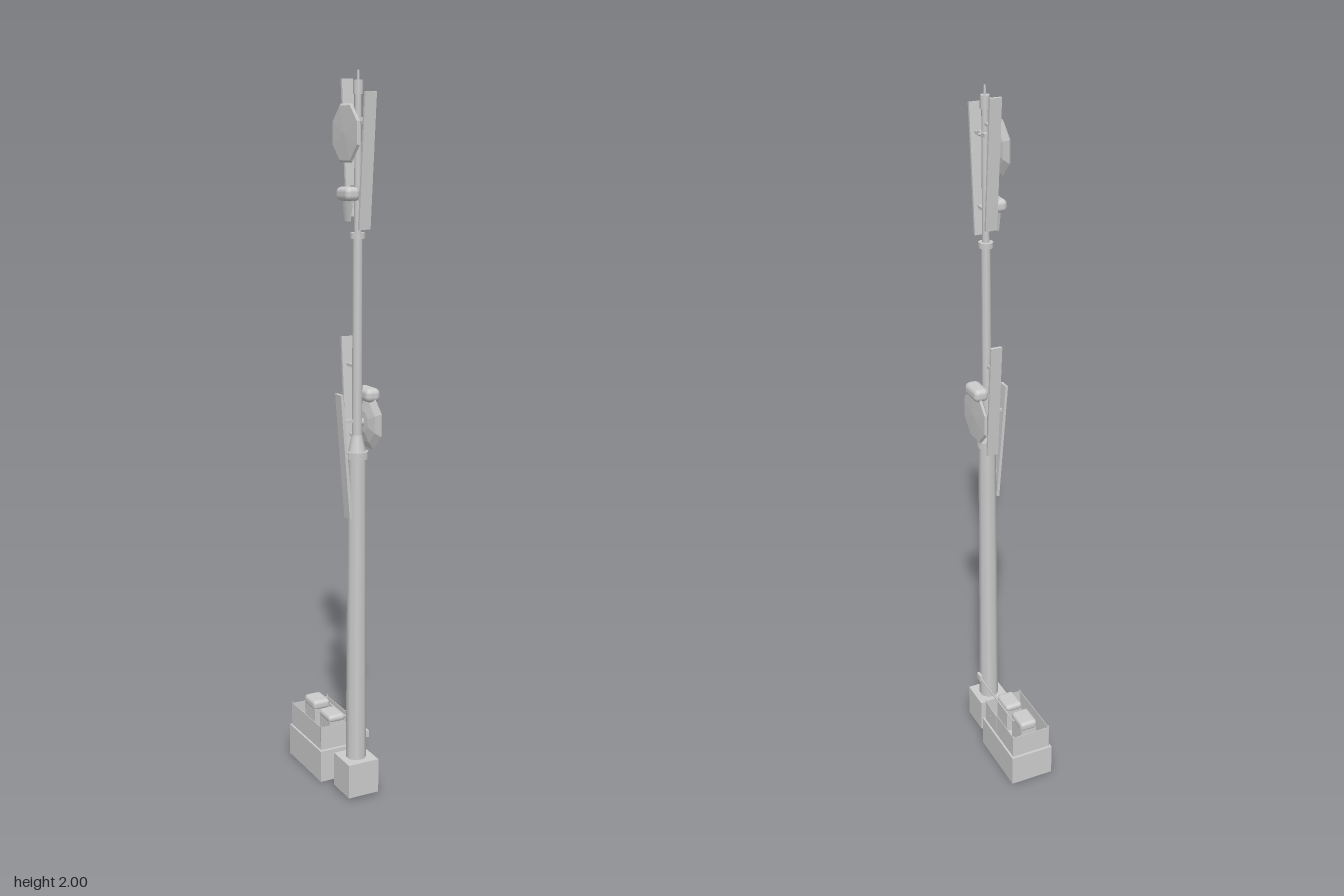
import * as THREE from 'three';
import { RoundedBoxGeometry } from 'three/addons/geometries/RoundedBoxGeometry.js';

const POLE_Z = 0.11;

export function createModel() {
  const model = new THREE.Group();
  const smooth = new THREE.MeshStandardMaterial({ color: 0xcccccc });
  const flat = new THREE.MeshStandardMaterial({ color: 0xcccccc, flatShading: true });

  const add = (name, geometry, x, y, z, material = flat, parent = model) => {
    const mesh = new THREE.Mesh(geometry, material);
    mesh.name = name;
    mesh.position.set(x, y, z);
    parent.add(mesh);
    return mesh;
  };
  // Box given by its lowest and highest corners
  const block = (name, a, b) => add(name,
    new THREE.BoxGeometry(b[0] - a[0], b[1] - a[1], b[2] - a[2]),
    (a[0] + b[0]) / 2, (a[1] + b[1]) / 2, (a[2] + b[2]) / 2);
  // Straight round bar between two points
  const bar = (name, a, b, r) => {
    const p = new THREE.Vector3(...a), q = new THREE.Vector3(...b);
    const mid = p.clone().add(q).multiplyScalar(0.5);
    const mesh = add(name, new THREE.CylinderGeometry(r, r, p.distanceTo(q), 6), mid.x, mid.y, mid.z, smooth);
    mesh.quaternion.setFromUnitVectors(new THREE.Vector3(0, 1, 0), q.sub(p).normalize());
    return mesh;
  };
  // Upright section of the mast
  const section = (name, y0, y1, r0, r1, sides = 8) =>
    add(name, new THREE.CylinderGeometry(r1, r0, y1 - y0, sides), 0, (y0 + y1) / 2, POLE_Z, smooth)
      .rotateY(Math.PI / 8);

  // Foundations
  block('equipmentSlab', [-0.065, 0, -0.197], [0.065, 0.095, 0.015]);
  block('mastFooting', [-0.047, 0.01, 0.065], [0.047, 0.11, 0.158]);

  // Mast in three stages with flanges
  section('lowerMast', 0.11, 0.985, 0.029, 0.025);
  section('lowerFlange', 0.985, 1.005, 0.032, 0.032);
  section('mastReducer', 1.005, 1.05, 0.025, 0.014);
  section('middleMast', 1.03, 1.58, 0.014, 0.013);
  section('upperFlange', 1.575, 1.59, 0.021, 0.021);
  section('upperMast', 1.59, 1.94, 0.01, 0.009);
  section('mastCap', 1.94, 1.975, 0.013, 0.013);
  section('lightningRod', 1.97, 2, 0.004, 0.003, 6);

  // Fence with corner posts and a gate on the left side
  const fx = 0.058, z0 = -0.188, z1 = 0.005, top = 0.165;
  for (const x of [-fx, fx]) {
    block('sideFence', [x - 0.0008, 0.095, z0], [x + 0.0008, top, z1]);
    for (const z of [z0, z1]) bar('fencePost', [x, 0.095, z], [x, top + 0.004, z], 0.002);
  }
  for (const z of [z0, z1]) block('endFence', [-fx, 0.095, z - 0.0008], [fx, top, z + 0.0008]);
  block('gate', [fx, 0.1, -0.071], [fx + 0.002, 0.162, -0.028]);
  for (const z of [-0.071, -0.028]) bar('gatePost', [fx, 0.095, z], [fx, top, z], 0.002);
  block('gateLatch', [fx, 0.132, -0.034], [fx + 0.004, 0.138, -0.03]);

  // Equipment cabinets with soft domed covers
  [[-0.041, 0.188], [-0.141, 0.194]].forEach(([z, height]) => {
    block('cabinet', [-0.024, 0.095, z - 0.033], [0.025, 0.17, z + 0.033]);
    add('cabinetCover', new RoundedBoxGeometry(0.054, height - 0.165, 0.072, 2, 0.011),
      0, (height + 0.165) / 2, z, smooth);
  });

  // Cable bridge from the cabinets to the mast
  bar('cableBridge', [0.03, 0.175, -0.125], [0.03, 0.175, POLE_Z], 0.003);
  bar('cableEntry', [0.03, 0.175, -0.125], [0.01, 0.175, -0.135], 0.003);
  block('cableClamp', [0.018, 0.166, POLE_Z - 0.01], [0.035, 0.186, POLE_Z + 0.012]);

  // Octagonal dish; side is +1 for left, -1 for right
  const dishProfile = [[0, -0.014], [0.03, -0.013], [0.06, -0.006], [0.08, 0.004], [0.074, 0.009], [0, 0.012]]
    .map(([r, y]) => new THREE.Vector2(r, y));
  const dish = (name, side, y) => {
    const mesh = add(name, new THREE.LatheGeometry(dishProfile, 8, Math.PI / 8), side * 0.03, y, POLE_Z);
    mesh.rotation.z = -side * Math.PI / 2;
    bar(name + 'Mount', [0, y, POLE_Z], [side * 0.022, y, POLE_Z], 0.011);
  };
  dish('upperDish', -1, 1.843);
  dish('lowerDish', 1, 1.085);

  // Rounded radio units beside the mast
  add('lowerRadio', new RoundedBoxGeometry(0.044, 0.038, 0.08, 2, 0.015), 0.031, 1.16, POLE_Z, smooth);
  add('upperRadio', new RoundedBoxGeometry(0.042, 0.036, 0.07, 2, 0.014), -0.029, 1.69, POLE_Z, smooth);
  add('upperRadioTail', new THREE.CylinderGeometry(0.03, 0.018, 0.06, 8), -0.03, 1.65, POLE_Z, smooth)
    .scale.set(0.25, 1, 1);
  for (const [x, y] of [[0.014, 1.16], [-0.014, 1.69]])
    bar('radioMount', [0, y, POLE_Z], [x, y, POLE_Z], 0.007);

  // Panel antennas leaning outwards, each held by two arms
  const panel = (name, angle, y0, y1, reach0, reach1) => {
    const holder = new THREE.Group();
    holder.name = name;
    holder.position.set(0, (y0 + y1) / 2, POLE_Z);
    holder.rotation.y = angle;
    model.add(holder);
    const lean = Math.atan2(reach1 - reach0, y1 - y0);
    add('panel', new THREE.BoxGeometry(0.033, Math.hypot(y1 - y0, reach1 - reach0), 0.008),
      0, 0, (reach0 + reach1) / 2, flat, holder).rotation.x = lean;
    for (const t of [-0.28, 0.28]) {
      const reach = (reach0 + reach1) / 2 + t * (reach1 - reach0);
      add('arm', new THREE.BoxGeometry(0.01, 0.008, reach), 0, t * (y1 - y0), reach / 2, flat, holder);
    }
  };
  panel('upperFrontPanel', 0, 1.6, 1.945, 0.036, 0.066);
  panel('upperBackPanel', Math.PI, 1.63, 1.98, 0.032, 0.063);
  panel('lowerBackPanel', Math.PI, 0.97, 1.31, 0.033, 0.063);
  panel('lowerRightPanel', -Math.PI / 2, 0.82, 1.165, 0.026, 0.054);

  // Small clamp near the top
  block('topClamp', [-0.012, 1.872, POLE_Z - 0.022], [0.012, 1.882, POLE_Z + 0.022]);
  bar('topStub', [0, 1.877, POLE_Z], [0.02, 1.877, POLE_Z], 0.004);

  return model;
}
